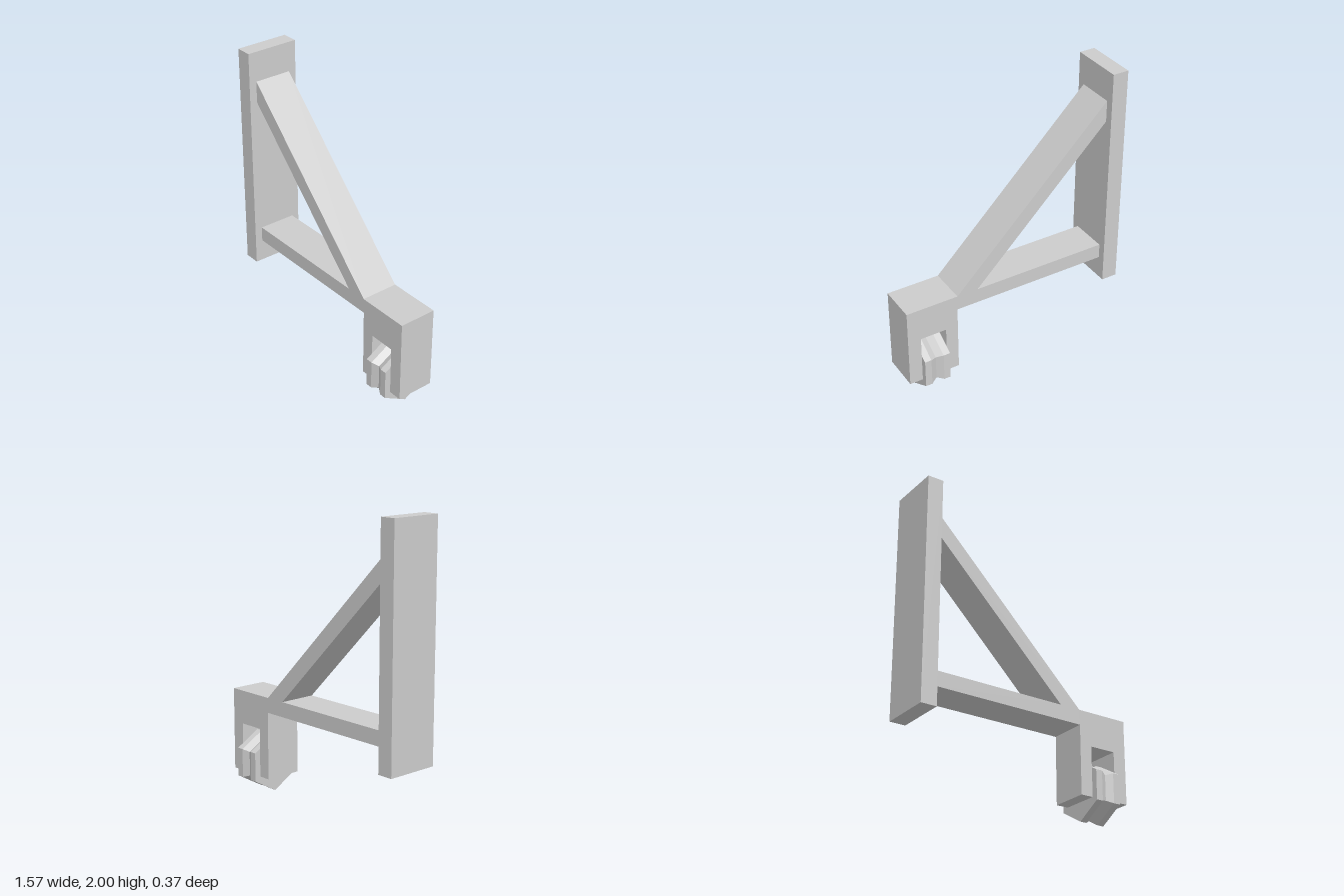
import * as THREE from 'three';

export function createModel() {
  const group = new THREE.Group();
  const material = new THREE.MeshStandardMaterial({ color: 0xcccccc, flatShading: true });

  const add = (name, geometry, x = 0, y = 0, z = 0) => {
    const mesh = new THREE.Mesh(geometry, material);
    mesh.name = name;
    mesh.position.set(x, y, z);
    group.add(mesh);
  };

  // Upright mounting plate
  add('wallPlate', new THREE.BoxGeometry(0.11, 1.56, 0.366), -0.733, 1.22, 0);

  // Horizontal beam, diagonal brace and wheel fork cut from one outline
  const outline = [
    [-0.68, 0.595], [0.423, 0.595],
    [0.423, 0.127], [0.51, 0.127], [0.51, 0.465], [0.693, 0.465], [0.693, 0.127], [0.785, 0.127],
    [0.785, 0.698], [0.42, 0.698],
    [-0.68, 1.797], [-0.68, 1.65],
    [0.273, 0.698], [-0.68, 0.698],
  ];
  const depth = 0.26;
  const frame = new THREE.ExtrudeGeometry(
    new THREE.Shape(outline.map(([x, y]) => new THREE.Vector2(x, y))),
    { depth, bevelEnabled: false },
  );
  add('bracedArm', frame, 0, 0, -depth / 2);

  // Six-sided pulley wheel with a V groove, corners pointing up and down
  const half = 0.0915;
  const profile = [
    [0, -half], [0.2, -half], [0.2, -0.045], [0.17, 0], [0.2, 0.045], [0.2, half], [0, half],
  ].map(([r, h]) => new THREE.Vector2(r, h));
  const wheel = new THREE.LatheGeometry(profile, 6, Math.PI / 6);
  wheel.rotateZ(-Math.PI / 2);
  add('pulleyWheel', wheel, 0.6015, 0.2, 0);

  return group;
}
